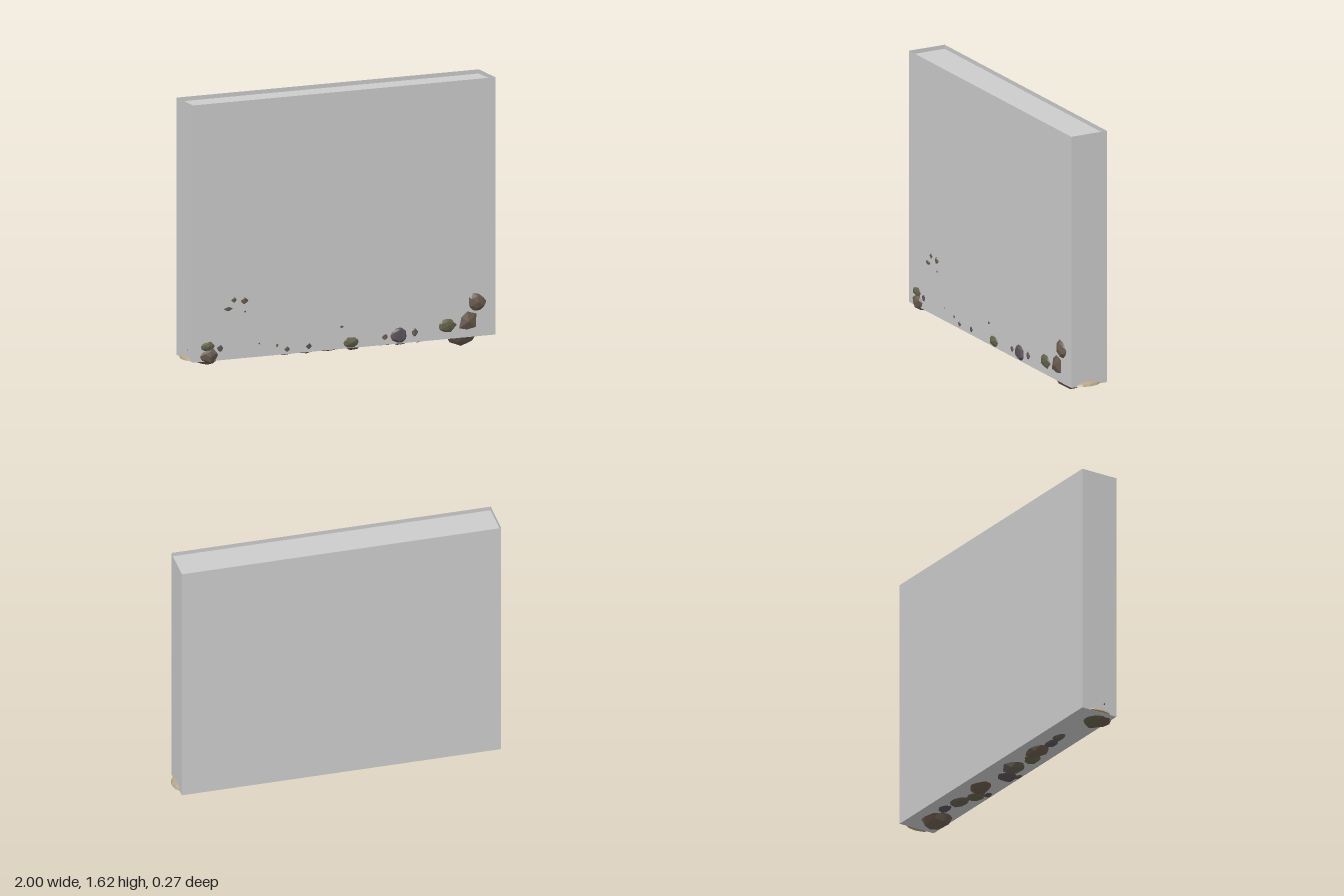
import * as THREE from 'three';

const FRONT = 0.105, BACK = -0.135, LEFT = 0.97, RIGHT = -0.975, BASE = 0.066, TOP = 1.615;

const rockMats = [0x665f53, 0x64634b, 0x6a5c4f, 0x5b5459].map(
  (color) => new THREE.MeshStandardMaterial({ color, flatShading: true })
);

// Repeatable noise from a position and a seed
function noise(x, y, z, seed) {
  const s = Math.sin(x * 12.99 + y * 78.23 + z * 37.72 + seed * 5.31) * 437.58;
  return s - Math.floor(s);
}

// Faceted pebble with slightly uneven corners
function pebble(name, seed, detail, center, radii) {
  const geo = new THREE.IcosahedronGeometry(1, detail);
  const p = geo.attributes.position;
  for (let i = 0; i < p.count; i++) {
    const v = new THREE.Vector3().fromBufferAttribute(p, i);
    const k = (n) => Math.round(n * 100) / 100 + 0;
    v.multiplyScalar(0.9 + 0.18 * noise(k(v.x), k(v.y), k(v.z), seed));
    p.setXYZ(i, v.x * radii[0], v.y * radii[1], v.z * radii[2]);
  }
  geo.computeVertexNormals();
  const mesh = new THREE.Mesh(geo, rockMats[seed % rockMats.length]);
  mesh.name = name;
  mesh.position.set(...center);
  return mesh;
}

export function createModel() {
  const model = new THREE.Group();
  const w = LEFT - RIGHT, h = TOP - BASE, d = FRONT - BACK;
  const cx = (LEFT + RIGHT) / 2, cy = (TOP + BASE) / 2, cz = (FRONT + BACK) / 2;

  // Tall thin tank, open at the top
  const tank = new THREE.Group();
  tank.name = 'tank';
  const glass = new THREE.MeshStandardMaterial({ color: 0xcccccc, side: THREE.DoubleSide });
  function pane(name, pw, ph, x, y, z, rx, ry) {
    const mesh = new THREE.Mesh(new THREE.PlaneGeometry(pw, ph), glass);
    mesh.name = name;
    mesh.position.set(x, y, z);
    mesh.rotation.set(rx, ry, 0);
    tank.add(mesh);
  }
  pane('frontPane', w, h, cx, cy, FRONT, 0, 0);
  pane('backPane', w, h, cx, cy, BACK, 0, Math.PI);
  pane('leftPane', d, h, LEFT, cy, cz, 0, Math.PI / 2);
  pane('rightPane', d, h, RIGHT, cy, cz, 0, -Math.PI / 2);
  pane('tankFloor', w, d, cx, BASE, cz, Math.PI / 2, 0);
  // Fill surface just below the rim
  pane('waterSurface', w, d, cx, TOP - 0.025, cz, -Math.PI / 2, 0);
  model.add(tank);

  // Low sand bed: a stretched dome whose ends show past the tank sides
  const sandGeo = new THREE.SphereGeometry(1, 12, 8).toNonIndexed();
  const sp = sandGeo.attributes.position;
  for (let i = 0; i < sp.count; i++) {
    const x = sp.getX(i);
    const shift = Math.abs(x) < 1e-4 ? 0 : Math.sign(x) * 0.93;
    sp.setXYZ(i, x * 0.07 + shift, Math.max(sp.getY(i), 0) * 0.03, sp.getZ(i) * 0.1);
  }
  sandGeo.computeVertexNormals();
  const sand = new THREE.Mesh(
    sandGeo,
    new THREE.MeshStandardMaterial({ color: 0xb5a68a, flatShading: true })
  );
  sand.name = 'sandBed';
  sand.position.set(0, BASE + 0.001, -0.01);
  model.add(sand);

  // Pebbles showing through the front: x, y, visible width, height, depth out
  const frontRocks = [
    [-0.88, 0.155, 0.10, 0.06, 0.015], [-0.87, 0.095, 0.12, 0.09, 0.025],
    [-0.80, 0.14, 0.05, 0.05, 0.008], [-0.75, 0.37, 0.07, 0.03, 0.008],
    [-0.71, 0.42, 0.04, 0.04, 0.008], [-0.645, 0.41, 0.055, 0.05, 0.012],
    [-0.64, 0.345, 0.02, 0.015, 0.004], [-0.55, 0.145, 0.012, 0.012, 0.003],
    [-0.435, 0.125, 0.022, 0.025, 0.006], [-0.37, 0.095, 0.04, 0.04, 0.01],
    [-0.23, 0.10, 0.04, 0.05, 0.008], [-0.02, 0.20, 0.03, 0.02, 0.005],
    [0.04, 0.10, 0.10, 0.07, 0.012], [0.26, 0.115, 0.05, 0.045, 0.007],
    [0.35, 0.115, 0.11, 0.10, 0.018], [0.45, 0.125, 0.055, 0.06, 0.009],
    [0.66, 0.145, 0.12, 0.08, 0.014], [0.85, 0.275, 0.12, 0.115, 0.028]
  ];
  const front = new THREE.Group();
  front.name = 'frontPebbles';
  frontRocks.forEach(([x, y, rw, rh, out], i) => {
    const rz = out / 0.4;
    front.add(pebble('frontPebble', i + 1, rw > 0.08 ? 1 : 0,
      [x, y, FRONT - 0.6 * rz], [rw / 1.6, rh / 1.6, rz]));
  });
  model.add(front);

  // Pebbles showing below the floor: x, z, visible width, depth, lowest point
  const floorRocks = [
    [0.79, 0.01, 0.22, 0.17, 0.002], [0.65, -0.03, 0.11, 0.07, 0.05],
    [0.52, -0.01, 0.15, 0.10, 0.038], [0.41, 0.03, 0.14, 0.10, 0.04],
    [0.28, -0.02, 0.18, 0.13, 0.03], [0.07, 0.03, 0.14, 0.11, 0.038],
    [-0.06, -0.01, 0.18, 0.13, 0.026], [-0.21, 0.02, 0.14, 0.10, 0.036],
    [-0.32, -0.02, 0.19, 0.12, 0.03], [-0.46, -0.01, 0.11, 0.07, 0.046],
    [-0.55, -0.02, 0.12, 0.07, 0.05], [-0.865, 0.02, 0.17, 0.13, 0.025]
  ];
  const under = new THREE.Group();
  under.name = 'floorPebbles';
  floorRocks.forEach(([x, z, rw, rd, low], i) => {
    const ry = (BASE - low) / 0.4;
    under.add(pebble('floorPebble', i + 30, 1,
      [x, BASE + 0.6 * ry, z], [rw / 1.6, ry, rd / 1.6]));
  });
  model.add(under);

  return model;
}
